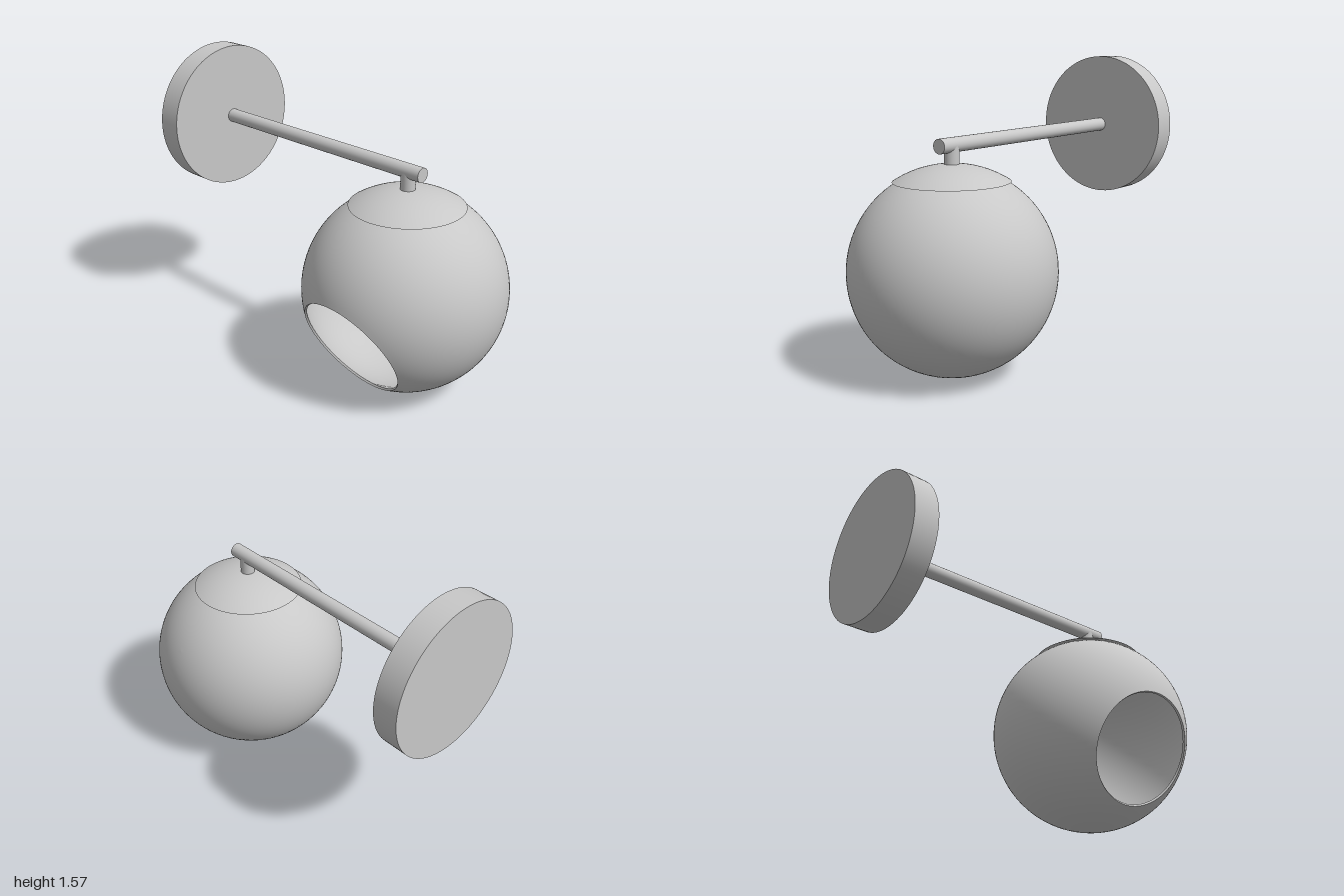
import * as THREE from 'three';

export function createModel() {
  const model = new THREE.Group();
  model.name = 'wallLamp';
  const grey = new THREE.MeshStandardMaterial({ color: 0xc8c8c8 });
  grey.name = 'satin grey';

  const add = (parent, name, geometry) => {
    const mesh = new THREE.Mesh(geometry, grey);
    mesh.name = name;
    parent.add(mesh);
    return mesh;
  };

  const R = 0.532, WALL = 0.012, CY = 0.532, CZ = 0.468;
  const OPEN = Math.PI - 0.596; // polar angle where the mouth begins

  // Hollow globe, mouth turned to the lower side
  const shade = new THREE.Group();
  shade.name = 'shade';
  shade.position.set(0, CY, CZ);
  shade.rotation.z = -1.12;
  model.add(shade);

  const arc = (radius, from, to, n = 48) => Array.from({ length: n + 1 }, (_, i) => {
    const t = from + (to - from) * i / n;
    return new THREE.Vector2(Math.max(0, Math.sin(t) * radius), Math.cos(t) * radius);
  });
  const outer = arc(R, OPEN, 0);
  const inner = arc(R - WALL, 0, OPEN);
  add(shade, 'shadeOutside', new THREE.LatheGeometry(outer, 96));
  add(shade, 'shadeInside', new THREE.LatheGeometry(inner, 96));
  add(shade, 'shadeRim', new THREE.LatheGeometry([inner[48], outer[0]], 96));

  // Cap hugging the top of the globe
  const CAP = 0.545, capAngle = 0.573;
  const cap = new THREE.Group();
  cap.name = 'cap';
  cap.position.set(0, CY, CZ);
  model.add(cap);
  add(cap, 'capDome', new THREE.SphereGeometry(CAP, 96, 16, 0, Math.PI * 2, 0, capAngle));
  const lip = add(cap, 'capLip', new THREE.RingGeometry(0.26, CAP * Math.sin(capAngle), 96));
  lip.rotation.x = Math.PI / 2;
  lip.position.y = CAP * Math.cos(capAngle);

  // Short stem between cap and arm
  const stem = add(model, 'stem', new THREE.CylinderGeometry(0.038, 0.038, 0.11, 32));
  stem.position.set(0, 1.115, CZ);

  // Arm and wall plate, swung slightly about the stem
  const bracket = new THREE.Group();
  bracket.name = 'bracket';
  bracket.position.set(0, 1.17, CZ);
  bracket.rotation.y = 0.028;
  model.add(bracket);
  const rod = (name, radius, front, back, sides) => {
    const geometry = new THREE.CylinderGeometry(radius, radius, front - back, sides);
    geometry.rotateX(Math.PI / 2);
    add(bracket, name, geometry).position.z = (front + back) / 2;
  };
  rod('arm', 0.038, 0.09, -1.33, 32);
  rod('wallPlate', 0.403, -1.322, -1.457, 96);

  return model;
}
